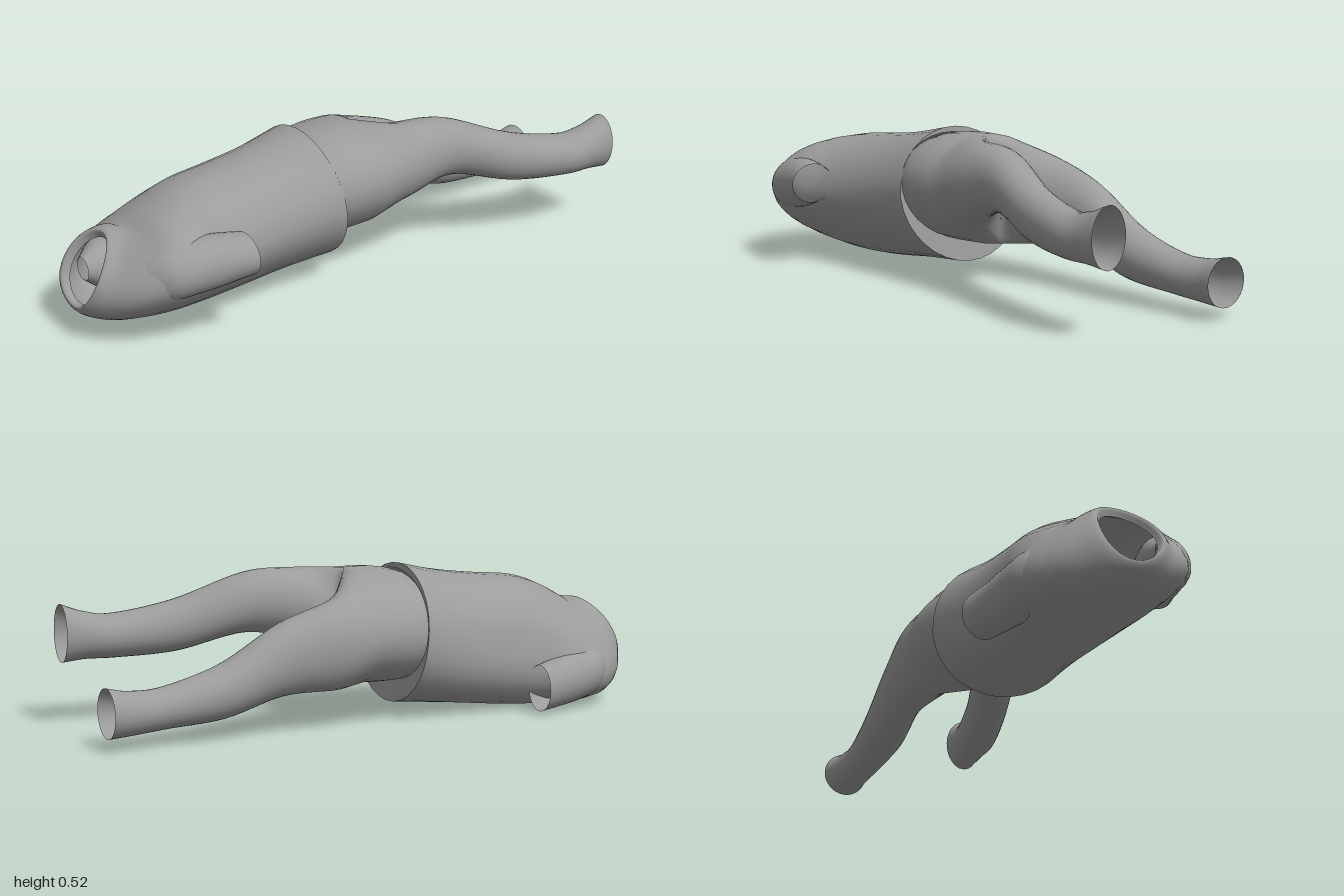
import * as THREE from 'three';
import { mergeGeometries, mergeVertices } from 'three/addons/utils/BufferGeometryUtils.js';

const N = 32; // points around every cross-section

// Elliptical cross-section: centre, half-width, half-height, roll about z,
// tilt (z shift per unit of height) and the angle of the first point.
function ring(x, y, z, a, b, roll = 0, tilt = 0, start = -Math.PI / 2) {
  const c = Math.cos(roll), s = Math.sin(roll);
  return Array.from({ length: N }, (_, i) => {
    const t = start + (i / N) * Math.PI * 2;
    const u = a * Math.cos(t), v = b * Math.sin(t);
    const dy = u * s + v * c;
    return new THREE.Vector3(x + u * c - v * s, y + dy, z + tilt * dy);
  });
}

// Shirt section: the lower half leans sideways (skew), the plane curves (bend).
function shirtRing([x, y, z, a, b, roll, tilt, skew, bend]) {
  const points = ring(x, y, z, a, b, roll, tilt);
  for (const p of points) {
    const dy = p.y - y;
    p.x += skew * Math.min(dy, 0);
    p.z -= bend * dy * dy;
  }
  return points;
}

// Smooth open skin through the cross-sections, ordered from +z to -z.
function loft(rings, steps) {
  const pos = [], index = [];
  const curves = Array.from({ length: N }, (_, i) =>
    new THREE.CatmullRomCurve3(rings.map(r => r[i]), false, 'catmullrom', 0.5));
  for (let s = 0; s <= steps; s++) {
    for (const curve of curves) pos.push(...curve.getPoint(s / steps).toArray());
  }
  for (let s = 0; s < steps; s++) {
    for (let i = 0; i < N; i++) {
      const j = (i + 1) % N;
      const a = s * N + i, b = s * N + j, c = a + N, d = b + N;
      index.push(a, c, b, b, c, d);
    }
  }
  const geo = new THREE.BufferGeometry();
  geo.setAttribute('position', new THREE.Float32BufferAttribute(pos, 3));
  geo.setIndex(index);
  geo.computeVertexNormals();
  return geo;
}

export function createModel() {
  const model = new THREE.Group();
  const cloth = new THREE.MeshStandardMaterial({ color: 0x9c9c9c, side: THREE.DoubleSide });
  const add = (name, geo) => {
    const mesh = new THREE.Mesh(geo, cloth);
    mesh.name = name;
    model.add(mesh);
  };
  const rings = (rows, start) =>
    rows.map(([x, y, z, a, b, roll, tilt]) => ring(x, y, z, a, b, roll, tilt, start));

  // Shirt body, from the turned-in collar over the broad shoulders to the hem
  const shirtRings = [
    [-0.01, 0.228, 0.95, 0.095, 0.1, 0.1, -0.5, 0.05, 2],
    [-0.012, 0.238, 0.972, 0.112, 0.118, 0.1, -0.5, 0.1, 2],
    [-0.012, 0.224, 0.945, 0.155, 0.137, 0.2, -0.5, 0.15, 1.8],
    [0, 0.207, 0.888, 0.235, 0.152, 0.3, -0.32, 0.2, 0.8],
    [0.005, 0.212, 0.8, 0.29, 0.178, 0.34, -0.2, 0.25, 0],
    [0.002, 0.22, 0.7, 0.288, 0.204, 0.36, -0.1, 0.3, 0],
    [-0.008, 0.23, 0.58, 0.254, 0.222, 0.36, 0, 0.3, 0],
    [-0.016, 0.241, 0.44, 0.242, 0.225, 0.34, 0.03, 0.27, 0],
    [-0.025, 0.259, 0.28, 0.245, 0.225, 0.3, 0.08, 0.2, 0],
    [-0.036, 0.284, 0.1, 0.259, 0.234, 0.22, 0.13, 0.08, 0],
  ].map(shirtRing);
  add('shirtBody', loft(shirtRings, 54));

  // Narrow turned-in edge of the shirt, down to the trousers
  add('shirtHem', loft([
    shirtRings.at(-1),
    ring(-0.037, 0.315, 0.105, 0.25, 0.182, 0.2, 0.13),
  ], 1));

  // Short sleeves, growing out of the shoulders and swept back along the sides
  add('leftSleeve', loft(rings([
    [0.16, 0.25, 0.88, 0.04, 0.04],
    [0.203, 0.265, 0.8, 0.088, 0.085],
    [0.232, 0.28, 0.7, 0.09, 0.09],
    [0.257, 0.29, 0.62, 0.085, 0.083],
    [0.285, 0.3, 0.54, 0.085, 0.068],
  ]), 20));
  add('rightSleeve', loft(rings([
    [-0.18, 0.15, 0.88, 0.04, 0.04],
    [-0.222, 0.13, 0.8, 0.083, 0.085],
    [-0.25, 0.112, 0.7, 0.083, 0.09],
    [-0.275, 0.1, 0.62, 0.076, 0.085],
    [-0.305, 0.09, 0.535, 0.068, 0.08],
  ]), 20));

  // Hips of the trousers, tucked under the shirt; the seam is kept upright
  const hipRings = rings([
    [-0.036, 0.314, 0.13, 0.245, 0.176, 0.2],
    [-0.037, 0.316, 0.08, 0.257, 0.186, 0.2],
    [-0.039, 0.319, 0.01, 0.264, 0.19, 0.2],
    [-0.04, 0.32, -0.07, 0.266, 0.188, 0.2],
  ], -Math.PI / 2 - 0.25);

  // Each leg starts as one half of the last hip section, closed along a
  // crotch seam that bows out between the legs
  const crotch = hipRings[3];
  const halfSection = first => {
    const from = crotch[(first + N / 2) % N], to = crotch[first];
    return Array.from({ length: N }, (_, i) => {
      if (i <= N / 2) return crotch[(first + i) % N].clone();
      const t = (i - N / 2) / (N / 2);
      const p = from.clone().lerp(to, t);
      p.z -= 0.045 * Math.sin(Math.PI * t);
      return p;
    });
  };
  const leftLeg = [halfSection(0), ...rings([
    [0.113, 0.375, -0.2, 0.115, 0.132],
    [0.143, 0.393, -0.37, 0.092, 0.103],
    [0.208, 0.322, -0.6, 0.078, 0.088],
    [0.253, 0.295, -0.8, 0.078, 0.075],
    [0.265, 0.3, -0.9, 0.07, 0.08],
    [0.268, 0.31, -0.98, 0.068, 0.098],
  ])];
  const rightLeg = [halfSection(N / 2), ...rings([
    [-0.193, 0.28, -0.2, 0.113, 0.152],
    [-0.204, 0.245, -0.4, 0.084, 0.12],
    [-0.2, 0.16, -0.6, 0.08, 0.09],
    [-0.2, 0.122, -0.8, 0.067, 0.068],
    [-0.207, 0.115, -0.92, 0.068, 0.07],
    [-0.21, 0.12, -1, 0.08, 0.08],
  ], Math.PI / 2)];

  // Weld hips and legs so the shading runs across the joins
  const parts = [loft(hipRings, 12), loft(leftLeg, 42), loft(rightLeg, 42)];
  parts.forEach(p => p.deleteAttribute('normal'));
  const trousers = mergeVertices(mergeGeometries(parts), 1e-4);
  trousers.computeVertexNormals();
  add('trousers', trousers);

  return model;
}
